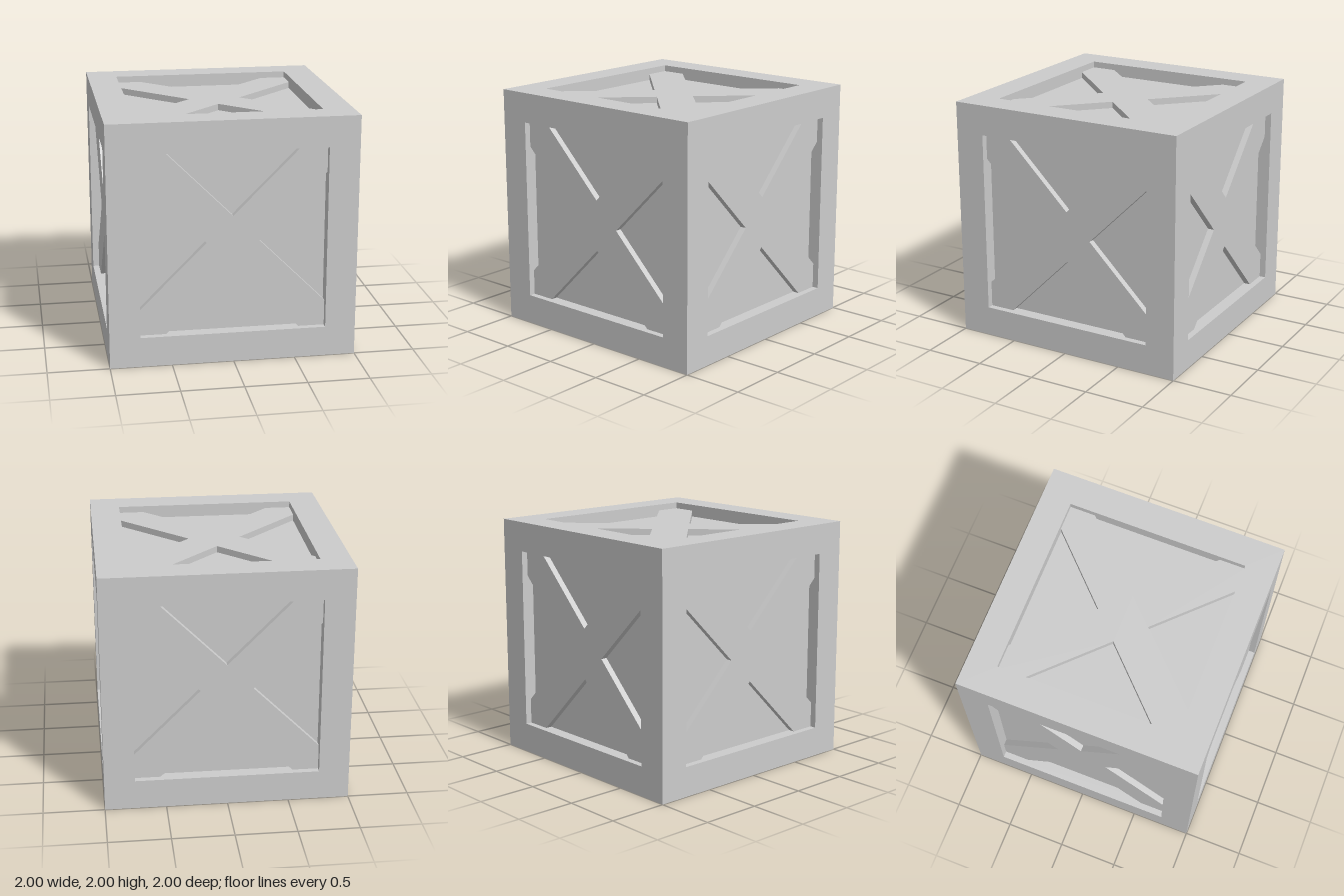
import * as THREE from 'three';
import { mergeGeometries } from 'three/addons/utils/BufferGeometryUtils.js';

const HALF = 1;          // half the crate's side
const INNER = 0.7525;    // half the opening inside each frame
const PANEL = 0.106;     // depth of the panels below the frame
const BRACE = 0.053;     // depth of the cross braces below the frame
const NOTCH = 0.212;     // half the brace width, measured along an axis

const square = (Type, h) => new Type([[-h, -h], [h, -h], [h, h], [-h, h]].map(([x, y]) => new THREE.Vector2(x, y)));

// Square border with the four walls of its recess
function frameGeometry() {
  const border = square(THREE.Shape, HALF);
  border.holes.push(square(THREE.Path, INNER));
  const parts = [new THREE.ShapeGeometry(border).translate(0, 0, HALF)];
  for (let i = 0; i < 4; i++) {
    parts.push(new THREE.PlaneGeometry(2 * INNER, PANEL)
      .rotateX(-Math.PI / 2)
      .translate(0, -INNER, HALF - PANEL / 2)
      .rotateZ(i * Math.PI / 2));
  }
  return mergeGeometries(parts);
}

// Diagonal cross that fills the corners of the opening
function braceGeometry() {
  const points = [];
  for (let i = 0; i < 4; i++) {
    const quarter = [[NOTCH, 0], [INNER, INNER - NOTCH], [INNER, INNER], [INNER - NOTCH, INNER]];
    for (const [x, y] of quarter) {
      points.push(new THREE.Vector2(x, y).rotateAround(new THREE.Vector2(), i * Math.PI / 2));
    }
  }
  const sink = 0.02;
  return new THREE.ExtrudeGeometry(new THREE.Shape(points), { depth: PANEL - BRACE + sink, bevelEnabled: false })
    .translate(0, 0, HALF - PANEL - sink);
}

export function createModel() {
  const crate = new THREE.Group();
  crate.name = 'crate';
  const grey = new THREE.MeshStandardMaterial({ color: 0xcccccc });
  grey.name = 'light grey';

  const add = (parent, name, geometry) => {
    const mesh = new THREE.Mesh(geometry, grey);
    mesh.name = name;
    parent.add(mesh);
    return mesh;
  };

  // Inner box whose faces are the recessed panels
  const side = 2 * (HALF - PANEL);
  add(crate, 'panels', new THREE.BoxGeometry(side, side, side)).position.y = HALF;

  // Six identical framed and braced sides
  const frame = frameGeometry();
  const brace = braceGeometry();
  const q = Math.PI / 2;
  const sides = { front: [0, 0], left: [0, q], back: [0, 2 * q], right: [0, -q], top: [-q, 0], bottom: [q, 0] };
  for (const [name, [rx, ry]] of Object.entries(sides)) {
    const group = new THREE.Group();
    group.name = `${name}Side`;
    group.position.y = HALF;
    group.rotation.set(rx, ry, 0);
    add(group, 'frame', frame);
    add(group, 'crossBrace', brace);
    crate.add(group);
  }
  return crate;
}
